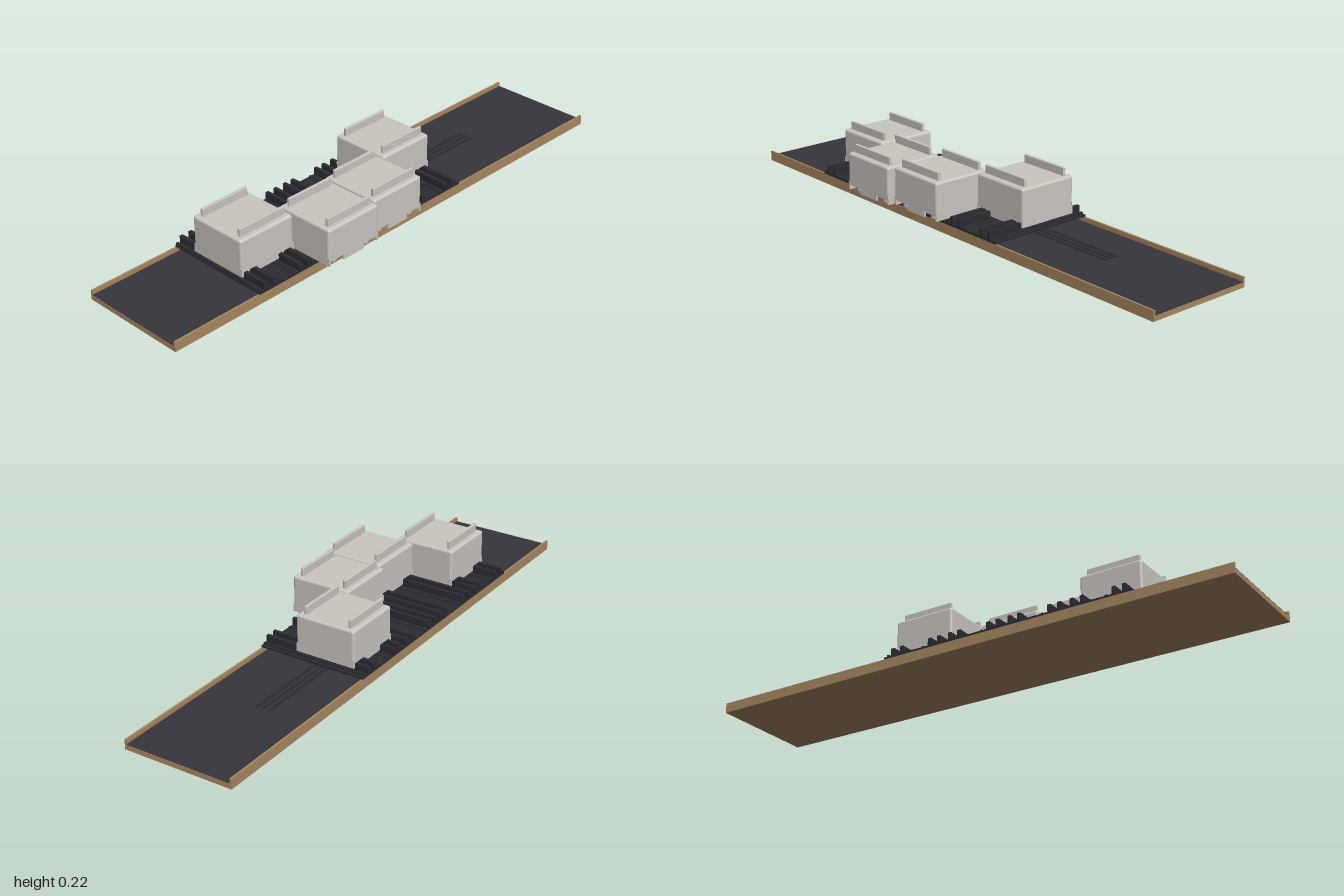
import * as THREE from 'three';
import { RoundedBoxGeometry } from 'three/addons/geometries/RoundedBoxGeometry.js';

const material = (name, color) => Object.assign(new THREE.MeshStandardMaterial({ color }), { name });

export function createModel() {
  const wood = material('tan wood', 0xa98862);
  const deck = material('charcoal deck', 0x37353d);
  const metal = material('black metal', 0x2b2b33);
  const shell = material('warm grey shell', 0xcac6c0);
  const red = material('red block', 0xa8343a);

  const model = new THREE.Group();
  model.name = 'slidingBoxTray';

  // Box from its limits on each axis
  const block = (parent, name, mat, [x0, x1], [y0, y1], [z0, z1], radius = 0) => {
    const size = [x1 - x0, y1 - y0, z1 - z0];
    const geometry = radius ? new RoundedBoxGeometry(...size, 3, radius) : new THREE.BoxGeometry(...size);
    const mesh = new THREE.Mesh(geometry, mat);
    mesh.name = name;
    mesh.position.set((x0 + x1) / 2, (y0 + y1) / 2, (z0 + z1) / 2);
    parent.add(mesh);
    return mesh;
  };

  const left = -0.237, right = 0.168;

  // Tray: base, dark floor covering and two side walls
  block(model, 'trayBase', wood, [left, right], [0, 0.018], [-1, 1]);
  block(model, 'trayFloor', deck, [left + 0.007, right - 0.007], [0.018, 0.0202], [-0.999, 0.999]);
  block(model, 'trayWallRight', wood, [left, left + 0.007], [0.018, 0.036], [-1, 1]);
  block(model, 'trayWallLeft', wood, [right - 0.007, right], [0.018, 0.036], [-1, 1]);

  // Long thin strips lying on the floor
  for (const x of [-0.083, -0.06, -0.037]) {
    block(model, 'floorStrip', metal, [x - 0.006, x + 0.006], [0.02, 0.0225], [-0.6, 0.0]);
  }

  // Thin cross plate and hangers beneath the tracks
  block(model, 'crossPlate', metal, [-0.085, 0.152], [0.024, 0.0275], [-0.2, 0.55]);
  for (const x of [-0.077, -0.034, 0.098, 0.12]) {
    block(model, 'hanger', metal, [x - 0.004, x + 0.004], [0.0275, 0.037], [-0.2, 0.55]);
  }

  // Cross tracks: one lane under every box
  const lanes = [
    { x: -0.0775, z: -0.168 },
    { x: 0.0975, z: 0.064 },
    { x: 0.1205, z: 0.297 },
    { x: -0.0345, z: 0.531 },
  ];
  block(model, 'trackBase', metal, [left, right], [0.036, 0.043], [-0.297, 0.652]);
  for (const { z } of lanes) {
    const lane = new THREE.Group();
    lane.name = 'trackLane';
    lane.position.z = z;
    model.add(lane);
    for (const side of [-1, 1]) {
      // Low outer ledge, then a channel with two raised walls
      for (const [offset, half, top] of [[0.113, 0.0045, 0.049], [0.094, 0.0065, 0.069], [0.075, 0.003, 0.051], [0.057, 0.0065, 0.069], [0.03, 0.004, 0.046]]) {
        const c = side * offset;
        block(lane, 'trackRail', metal, [left, right], [0.042, top], [c - half, c + half]);
      }
    }
  }

  // Sliding boxes
  const half = 0.1135;
  for (const { x, z } of lanes) {
    const box = new THREE.Group();
    box.name = 'slidingBox';
    box.position.set(x, 0, z);
    model.add(box);
    block(box, 'boxShell', shell, [-half, half], [0.073, 0.19], [-half, half], 0.009);
    block(box, 'boxCollar', shell, [-half, half], [0.072, 0.084], [-half, half]);
    for (const side of [-1, 1]) {
      // Skirts outside the rails and tongues between them
      const s = side * (half - 0.004);
      block(box, 'boxSkirt', shell, [-half, half], [0.055, 0.073], [s - 0.004, s + 0.004]);
      block(box, 'boxTongue', shell, [s - 0.004, s + 0.004], [0.053, 0.073], [-0.046, 0.046]);
      // Runner in the channel
      const r = side * 0.075;
      block(box, 'boxRunner', shell, [-0.1, 0.1], [0.053, 0.073], [r - 0.007, r + 0.007]);
      // Upright fin on the lid
      const f = side * 0.0875;
      block(box, 'topFin', shell, [f - 0.0055, f + 0.0055], [0.188, 0.219], [-0.097, 0.097], 0.002);
    }
    // Red drive block beneath the box
    block(box, 'driveBlock', red, [-0.055, 0.055], [0.0432, 0.054], [-0.048, 0.048]);
  }

  return model;
}
